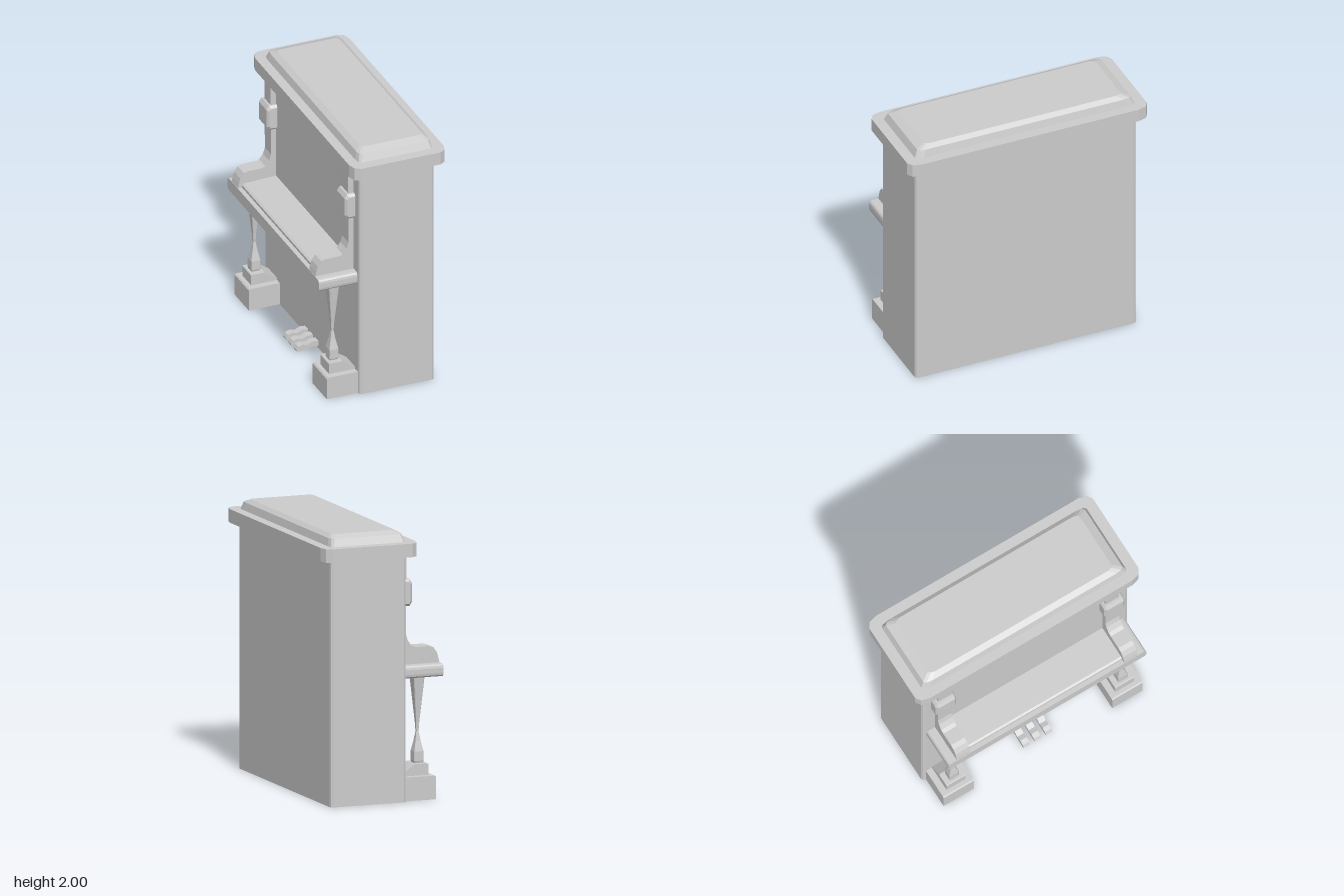
import * as THREE from 'three';

const mat = new THREE.MeshStandardMaterial({ color: 0xcccccc, flatShading: true });

// Rounded rectangle in plan: x0..x1, half depth d, corner size rx by rz
function ring(y, x0, x1, d, rx, rz, seg = 2) {
  const pts = [];
  const corners = [[x1 - rx, d - rz], [x0 + rx, d - rz], [x0 + rx, -d + rz], [x1 - rx, -d + rz]];
  corners.forEach(([cx, cz], q) => {
    for (let i = 0; i <= seg; i++) {
      const a = (q + i / seg) * Math.PI / 2;
      pts.push(new THREE.Vector3(cx + rx * Math.cos(a), y, cz + rz * Math.sin(a)));
    }
  });
  return pts;
}

// Skin a stack of rings from bottom to top and close both ends
function loft(name, rings) {
  const pos = [];
  const tri = (a, b, c) => pos.push(...a.toArray(), ...b.toArray(), ...c.toArray());
  const n = rings[0].length;
  for (let r = 0; r < rings.length - 1; r++) {
    for (let i = 0; i < n; i++) {
      const j = (i + 1) % n, lo = rings[r], hi = rings[r + 1];
      tri(lo[i], hi[i], hi[j]);
      tri(lo[i], hi[j], lo[j]);
    }
  }
  const top = rings[rings.length - 1], bottom = rings[0];
  for (let i = 1; i < n - 1; i++) {
    tri(top[0], top[i + 1], top[i]);
    tri(bottom[0], bottom[i], bottom[i + 1]);
  }
  const g = new THREE.BufferGeometry();
  g.setAttribute('position', new THREE.Float32BufferAttribute(pos, 3));
  g.computeVertexNormals();
  const m = new THREE.Mesh(g, mat);
  m.name = name;
  return m;
}

// Side profile in x, y extruded to a total width along z, centred on z
function slab(name, profile, width, z, bevel = 0) {
  const shape = new THREE.Shape(profile.map(([x, y]) => new THREE.Vector2(x, y)));
  const g = new THREE.ExtrudeGeometry(shape, {
    depth: width - 2 * bevel, bevelEnabled: bevel > 0, bevelSize: bevel,
    bevelThickness: bevel, bevelOffset: -bevel, bevelSegments: 1, curveSegments: 4,
  });
  g.translate(0, 0, z - width / 2 + bevel);
  const m = new THREE.Mesh(g, mat);
  m.name = name;
  return m;
}

export function createModel() {
  const model = new THREE.Group();
  model.name = 'uprightPiano';

  // Case, cornice and raised lid
  model.add(loft('case', [0, 1.83].map(y => ring(y, -0.185, 0.41, 0.88, 0.02, 0.03))));
  model.add(loft('cornice', [1.82, 1.92].map(y => ring(y, -0.262, 0.485, 0.955, 0.06, 0.09))));
  model.add(loft('lid', [
    ring(1.915, -0.19, 0.41, 0.877, 0.025, 0.06),
    ring(1.975, -0.172, 0.394, 0.85, 0.025, 0.06),
    ring(2.0, -0.13, 0.36, 0.785, 0.025, 0.05),
  ]));

  // Key shelf with rounded ends, running along z
  const e = new THREE.Shape();
  const h = 0.845, r = 0.03;
  e.moveTo(-h + r, 0.9);
  e.lineTo(h - r, 0.9);
  e.quadraticCurveTo(h, 0.9, h, 0.9 + r);
  e.lineTo(h, 0.995 - r);
  e.quadraticCurveTo(h, 0.995, h - r, 0.995);
  e.lineTo(-h + r, 0.995);
  e.quadraticCurveTo(-h, 0.995, -h, 0.995 - r);
  e.lineTo(-h, 0.9 + r);
  e.quadraticCurveTo(-h, 0.9, -h + r, 0.9);
  const shelfGeo = new THREE.ExtrudeGeometry(e, { depth: 0.31, bevelEnabled: false, curveSegments: 3 });
  shelfGeo.rotateY(-Math.PI / 2).translate(-0.18, 0, 0);
  const shelf = new THREE.Mesh(shelfGeo, mat);
  shelf.name = 'keyShelf';
  model.add(shelf);

  // Key bed between the arms
  model.add(slab('keyBed', [
    [-0.455, 0.985], [-0.18, 0.985], [-0.18, 1.035], [-0.44, 1.025], [-0.455, 1.015],
  ], 1.34, 0));

  // Arms, posts, legs and feet on both sides
  for (const s of [-1, 1]) {
    const side = new THREE.Group();
    side.name = s > 0 ? 'leftSupport' : 'rightSupport';
    const z = 0.72 * s;

    // Arm sweeping up into the post
    side.add(slab('armAndPost', [
      [-0.49, 0.985], [-0.18, 0.985], [-0.18, 1.83], [-0.23, 1.83], [-0.225, 1.22],
      [-0.24, 1.17], [-0.27, 1.13], [-0.30, 1.12], [-0.405, 1.12], [-0.44, 1.11],
      [-0.468, 1.07], [-0.48, 1.03],
    ], 0.115, 0.715 * s));

    // Collar around the post
    side.add(slab('postCollar', [
      [-0.17, 1.43], [-0.245, 1.43], [-0.265, 1.46], [-0.265, 1.6], [-0.245, 1.63], [-0.17, 1.63],
    ].reverse(), 0.175, z, 0.018));

    // Waisted square leg: height, half width
    const leg = loft('leg', [
      [0.25, 0.031], [0.275, 0.037], [0.345, 0.036], [0.42, 0.02], [0.49, 0.009],
      [0.56, 0.013], [0.75, 0.03], [0.91, 0.044],
    ].map(([y, w]) => ring(y, -w, w, w * 1.1, w * 0.15, w * 0.15, 1)));
    leg.position.set(-0.333, 0, z);
    side.add(leg);

    // Foot block and its sloping step
    side.add(slab('foot', [
      [-0.43, 0], [-0.17, 0], [-0.17, 0.175], [-0.42, 0.175], [-0.43, 0.165],
    ], 0.26, z));
    side.add(slab('footStep', [
      [-0.39, 0.17], [-0.175, 0.17], [-0.175, 0.185], [-0.285, 0.26], [-0.385, 0.26], [-0.39, 0.255],
    ], 0.16, z));
    model.add(side);
  }

  // Three pedals
  for (let i = -1; i <= 1; i++) {
    model.add(slab('pedal', [
      [-0.18, 0.02], [-0.18, 0.06], [-0.23, 0.065], [-0.27, 0.045], [-0.31, 0.055],
      [-0.345, 0.045], [-0.36, 0.02], [-0.355, 0.005], [-0.29, 0.005], [-0.25, 0.02],
    ].reverse(), 0.055, i * 0.095));
  }
  return model;
}
